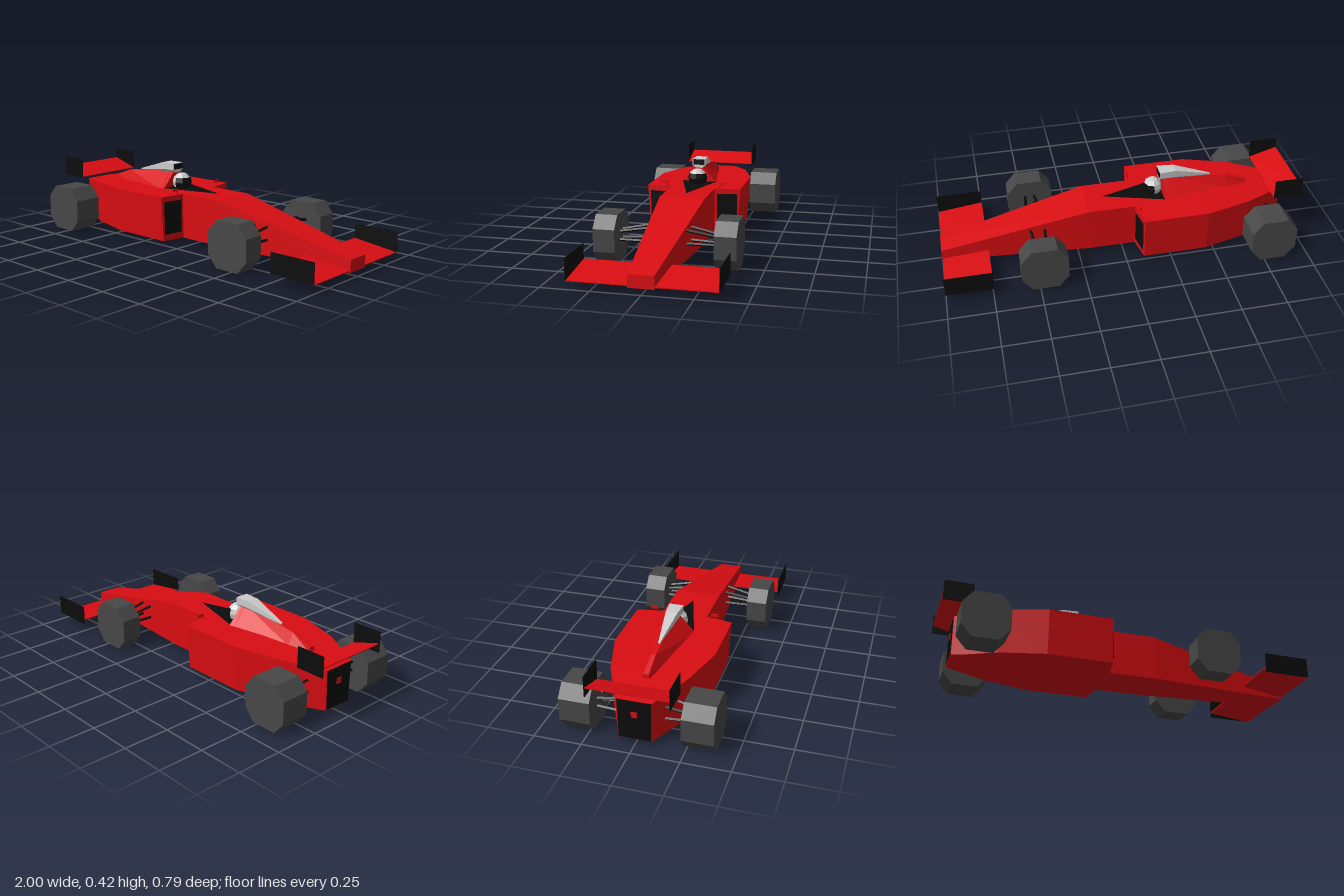
import * as THREE from 'three';

const mat = (color) => new THREE.MeshStandardMaterial({ color, flatShading: true, side: THREE.DoubleSide });

// Skin a list of stations { x, ring: [[z, y], ...] } running from back to front, with both ends closed
function loft(stations) {
  const pos = [];
  const put = (s, i) => pos.push(s.x, s.ring[i][1], s.ring[i][0]);
  const n = stations[0].ring.length;
  for (let k = 0; k + 1 < stations.length; k++) {
    const a = stations[k], b = stations[k + 1];
    for (let i = 0; i < n; i++) {
      const j = (i + 1) % n;
      put(a, i); put(b, i); put(a, j);
      put(a, j); put(b, i); put(b, j);
    }
  }
  const first = stations[0], last = stations[stations.length - 1];
  for (let i = 1; i + 1 < n; i++) {
    put(first, 0); put(first, i); put(first, i + 1);
    put(last, 0); put(last, i + 1); put(last, i);
  }
  const g = new THREE.BufferGeometry();
  g.setAttribute('position', new THREE.Float32BufferAttribute(pos, 3));
  g.computeVertexNormals();
  return g;
}

// Station with a symmetric trapezoid section
const trap = (x, bottomHalf, topHalf, y0, y1) => ({
  x, ring: [[-bottomHalf, y0], [bottomHalf, y0], [topHalf, y1], [-topHalf, y1]],
});

// Flat convex panel through 3D corners
function panel(...c) {
  const g = new THREE.BufferGeometry();
  g.setAttribute('position', new THREE.Float32BufferAttribute(c.flat(), 3));
  const idx = [];
  for (let i = 1; i + 1 < c.length; i++) idx.push(0, i, i + 1);
  g.setIndex(idx);
  g.computeVertexNormals();
  return g;
}

// Straight rod between two points
function rod(a, b, r) {
  return new THREE.TubeGeometry(new THREE.LineCurve3(new THREE.Vector3(...a), new THREE.Vector3(...b)), 1, r, 4);
}

// Eight-sided wheel centred on its axle
function wheelGeometry(width) {
  const r = 0.126, flat = 0.07, side = 0.06;
  const outline = [[flat, -r], [r, -side], [r, side], [flat, r], [-flat, r], [-r, side], [-r, -side], [-flat, -r]];
  const shape = new THREE.Shape(outline.map(([x, y]) => new THREE.Vector2(x, y)));
  return new THREE.ExtrudeGeometry(shape, { depth: width, bevelEnabled: false }).translate(0, 0, -width / 2);
}

export function createModel() {
  const car = new THREE.Group();
  const red = mat(0xd90d12), black = mat(0x0c0c0c), tyre = mat(0x474747), grey = mat(0xcccccc);
  const add = (name, geometry, material, x = 0, y = 0, z = 0) => {
    const m = new THREE.Mesh(geometry, material);
    m.name = name;
    m.position.set(x, y, z);
    car.add(m);
    return m;
  };

  // Main body: tail, side pods, stepped pod fronts, tapering nose
  add('body', loft([
    trap(-0.92, 0.085, 0.09, 0.028, 0.248),
    trap(-0.84, 0.12, 0.13, 0.026, 0.257),
    trap(-0.70, 0.19, 0.2, 0.026, 0.268),
    trap(-0.45, 0.255, 0.271, 0.026, 0.276),
    trap(-0.095, 0.255, 0.271, 0.026, 0.277),
    trap(-0.07, 0.125, 0.125, 0.026, 0.278),
    trap(0.19, 0.125, 0.125, 0.027, 0.279),
    trap(1.0, 0.065, 0.065, 0.032, 0.098),
  ]), red);
  add('tailPanel', panel([-0.922, 0.03, -0.083], [-0.922, 0.03, 0.083], [-0.922, 0.246, 0.088], [-0.922, 0.246, -0.088]), black);
  add('tailLight', new THREE.BoxGeometry(0.006, 0.03, 0.03), red, -0.924, 0.17, 0);

  // Engine cover behind the driver
  add('engineCover', loft([
    trap(-0.74, 0.02, 0.014, 0.262, 0.288),
    trap(-0.62, 0.045, 0.012, 0.265, 0.33),
    trap(-0.28, 0.1, 0.008, 0.27, 0.375),
    trap(-0.245, 0.107, 0.008, 0.27, 0.38),
  ]), red);

  // Air intake on top of the engine cover
  const scoop = (x, lower, upper, y0, y1, y2) => ({
    x, ring: [[-lower, y0], [lower, y0], [upper, y1], [upper, y2], [-upper, y2], [-upper, y1]],
  });
  add('airIntake', loft([
    scoop(-0.53, 0.003, 0.005, 0.338, 0.344, 0.35),
    scoop(-0.32, 0.016, 0.032, 0.36, 0.375, 0.415),
    scoop(-0.23, 0.02, 0.039, 0.363, 0.379, 0.416),
  ]), grey);
  add('airIntakeMouth', new THREE.BoxGeometry(0.004, 0.031, 0.066), black, -0.229, 0.397, 0);

  // Cockpit opening and driver's helmet
  add('cockpit', panel([-0.245, 0.281, -0.1], [-0.245, 0.281, 0.1], [0.09, 0.281, 0]), black);
  add('helmet', new THREE.SphereGeometry(0.054, 8, 6), grey, -0.198, 0.312, 0);
  add('visor', new THREE.SphereGeometry(0.056, 4, 3, Math.PI / 2, Math.PI, Math.PI / 3, Math.PI / 2), black, -0.198, 0.312, 0);

  for (const s of [1, -1]) {
    const side = s > 0 ? 'left' : 'right';

    // Side pod intake, lying on the slanted pod front
    const podX = (z) => -0.07 - (z - 0.125) * 0.171 + 0.003;
    add(side + 'PodIntake', panel(
      [podX(0.14), 0.063, s * 0.14], [podX(0.252), 0.063, s * 0.252],
      [podX(0.252), 0.248, s * 0.252], [podX(0.14), 0.248, s * 0.14]), black);

    // Mirror on a short stalk
    add(side + 'Mirror', new THREE.BoxGeometry(0.008, 0.015, 0.038), red, -0.088, 0.303, s * 0.172);
    add(side + 'MirrorStalk', rod([-0.088, 0.27, s * 0.148], [-0.088, 0.3, s * 0.156], 0.004), red);

    // Wheels
    add(side + 'RearWheel', wheelGeometry(0.162), tyre, -0.796, 0.126, s * 0.312);
    add(side + 'FrontWheel', wheelGeometry(0.115), tyre, 0.468, 0.126, s * 0.314);

    // Suspension arms, an upper and a lower pair at each wheel
    for (const [name, x, inner, outer, spread] of [['Front', 0.47, 0.09, 0.27, 0.04], ['Rear', -0.79, 0.1, 0.25, 0.045]]) {
      for (const [y0, y1] of [[0.187, 0.153], [0.115, 0.111]]) {
        for (const d of [1, -1]) {
          add(side + name + 'Arm', rod([x + d * spread, y0, s * inner], [x + d * spread * 0.6, y1, s * outer], 0.008), black);
        }
      }
    }

    // Front wing half and its end plate
    add(side + 'FrontWing', loft([
      { x: 0.745, ring: [[0.05, 0.07], [0.368, 0.07], [0.368, 0.076], [0.05, 0.076]].map(([z, y]) => [z - (s < 0 ? 0.418 : 0), y]) },
      { x: 0.998, ring: [[0.05, 0.04], [0.368, 0.04], [0.368, 0.045], [0.05, 0.045]].map(([z, y]) => [z - (s < 0 ? 0.418 : 0), y]) },
    ]), red);
    add(side + 'FrontEndPlate', new THREE.BoxGeometry(0.255, 0.11, 0.004), black, 0.8725, 0.099, s * 0.368);

    // Rear wing end plate
    add(side + 'RearEndPlate', new THREE.BoxGeometry(0.16, 0.112, 0.004), black, -0.92, 0.336, s * 0.21 - 0.006);
  }

  // Rear wing, rising towards the back
  add('rearWing', loft([
    trap(-0.999, 0.21, 0.21, 0.327, 0.332),
    trap(-0.841, 0.21, 0.21, 0.28, 0.285),
  ]), red, 0, 0, -0.006);

  return car;
}
